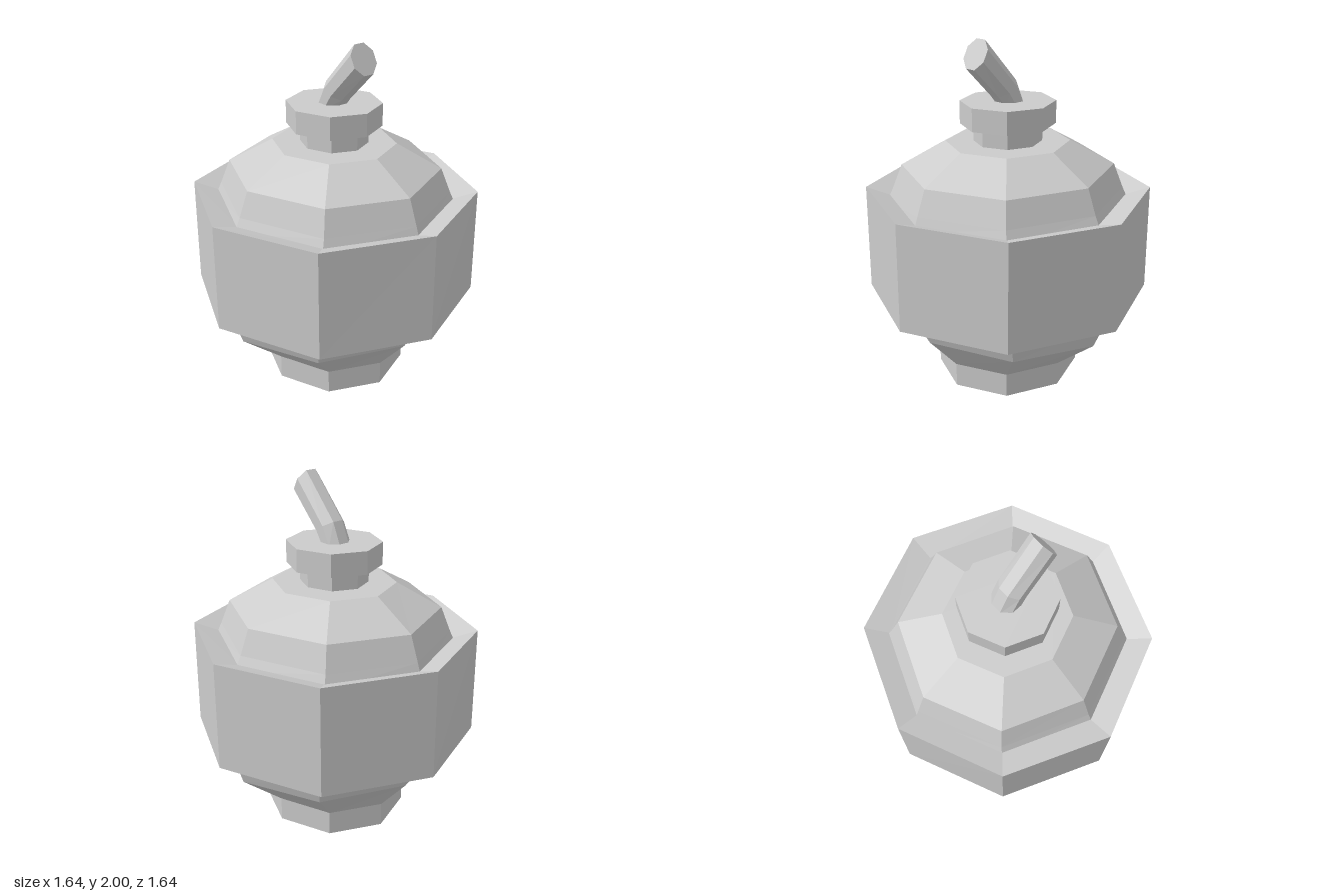
import * as THREE from 'three';

const SIDES = 8;
const material = new THREE.MeshStandardMaterial({ color: 0xcccccc, flatShading: true });

// Skin a stack of rings (each SIDES points), with optional flat end caps
function loft(name, rings, capped = true) {
  const pos = [];
  const tri = (...pts) => pts.forEach((p) => pos.push(p.x, p.y, p.z));
  for (let k = 0; k < rings.length - 1; k++) {
    for (let i = 0; i < SIDES; i++) {
      const j = (i + 1) % SIDES;
      const a = rings[k][i], b = rings[k][j], c = rings[k + 1][j], d = rings[k + 1][i];
      tri(a, d, b);
      tri(b, d, c);
    }
  }
  if (capped) {
    const first = rings[0], last = rings[rings.length - 1];
    for (let i = 1; i < SIDES - 1; i++) {
      tri(first[0], first[i], first[i + 1]);
      tri(last[0], last[i + 1], last[i]);
    }
  }
  const geometry = new THREE.BufferGeometry();
  geometry.setAttribute('position', new THREE.Float32BufferAttribute(pos, 3));
  geometry.computeVertexNormals();
  const mesh = new THREE.Mesh(geometry, material);
  mesh.name = name;
  return mesh;
}

// Horizontal octagon with corners on the axes
function ring([y, rx, rz]) {
  return Array.from({ length: SIDES }, (_, i) => {
    const a = (i / SIDES) * Math.PI * 2;
    return new THREE.Vector3(Math.cos(a) * rx, y, Math.sin(a) * rz);
  });
}

// Octagon with flat sides, centred at (x, y) and leaning along (ux, uy)
function fuseRing([x, y, ux, uy]) {
  const s = 1 / Math.cos(Math.PI / SIDES);
  return Array.from({ length: SIDES }, (_, i) => {
    const a = ((i + 0.5) / SIDES) * Math.PI * 2;
    const c = Math.cos(a) * s;
    return new THREE.Vector3(x + c * ux, y + c * uy, Math.sin(a) * s * 0.077);
  });
}

export function createModel() {
  const group = new THREE.Group();
  group.name = 'bomb';

  // Foot
  group.add(loft('base', [[0, 0.425, 0.41], [0.14, 0.425, 0.41]].map(ring)));

  // Rounded shell
  group.add(loft('body', [
    [0.14, 0.425, 0.41],
    [0.36, 0.617, 0.67],
    [0.51, 0.675, 0.72],
    [0.58, 0.70, 0.74],
    [1.05, 0.70, 0.69],
    [1.13, 0.67, 0.65],
    [1.27, 0.615, 0.595],
    [1.41, 0.358, 0.345],
  ].map(ring)));

  // Wide belt whose upper and lower faces slope inward
  group.add(loft('band', [
    [0.57, 0.68, 0.70],
    [0.51, 0.82, 0.82],
    [1.13, 0.815, 0.82],
    [1.08, 0.67, 0.66],
  ].map(ring), false));

  // Neck and cap
  group.add(loft('neck', [[1.40, 0.197, 0.19], [1.52, 0.197, 0.19]].map(ring)));
  group.add(loft('cap', [[1.51, 0.273, 0.265], [1.64, 0.273, 0.265]].map(ring)));

  // Bent fuse
  group.add(loft('fuse', [
    [-0.02, 1.62, 0.066, -0.01],
    [0.035, 1.715, 0.065, -0.04],
    [0.24, 1.925, 0.04, -0.075],
  ].map(fuseRing)));

  return group;
}
